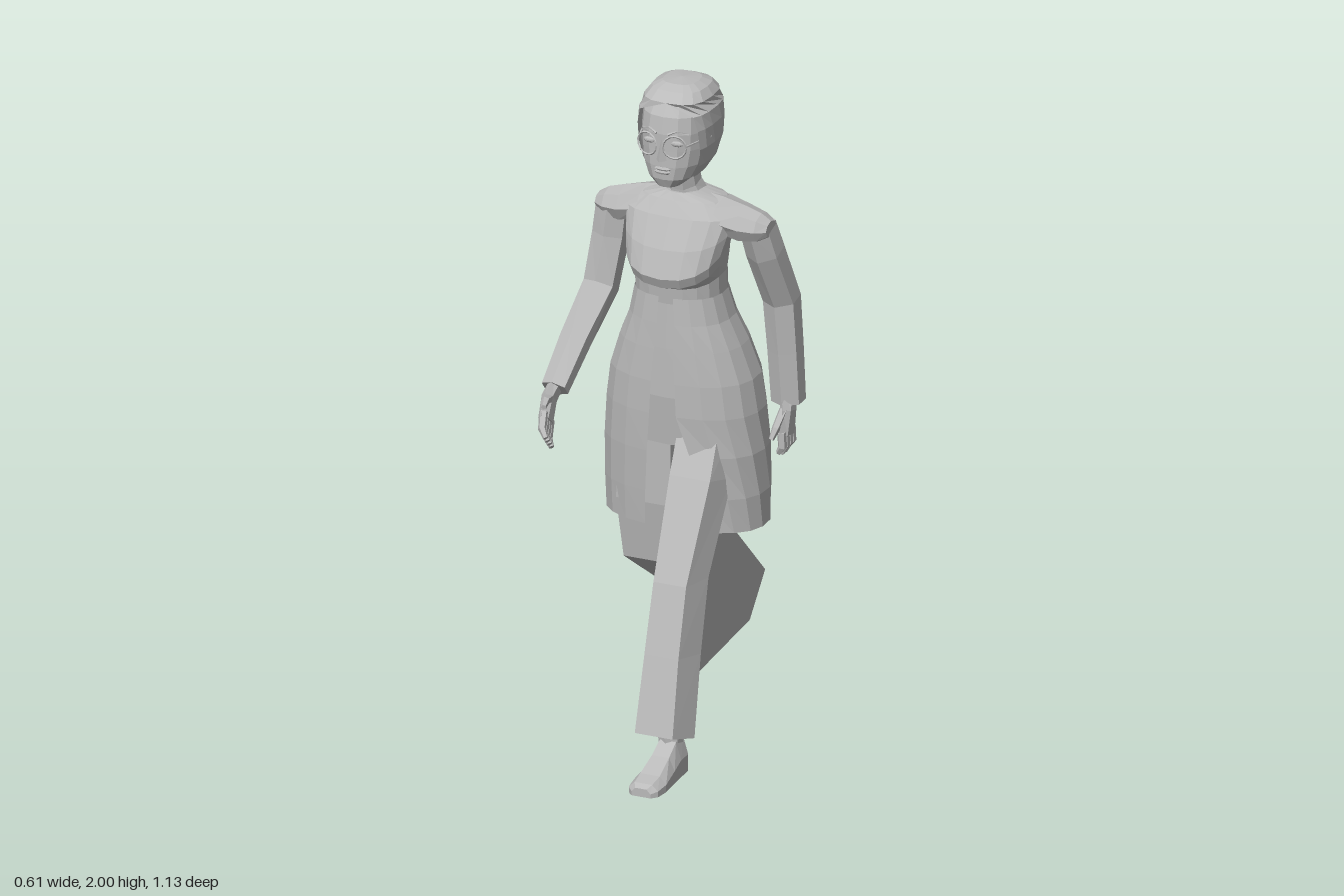
import * as THREE from 'three';

const grey = new THREE.MeshStandardMaterial({ color: 0xbababa, flatShading: true, side: THREE.DoubleSide });
grey.name = 'plain grey';
const V = (x, y, z) => new THREE.Vector3(x, y, z);

function add(parent, name, geometry) {
  const m = new THREE.Mesh(geometry, grey);
  m.name = name;
  parent.add(m);
  return m;
}

// Skin a list of equal-length rings; optionally closed around and capped at the ends
function loft(rings, closed = true, caps = true) {
  const n = rings[0].length, pos = [], idx = [];
  rings.forEach(r => r.forEach(p => pos.push(p.x, p.y, p.z)));
  for (let i = 0; i < rings.length - 1; i++) {
    for (let j = 0; j < (closed ? n : n - 1); j++) {
      const a = i * n + j, b = i * n + (j + 1) % n;
      idx.push(a, b, a + n, b, b + n, a + n);
    }
  }
  if (closed && caps) {
    [0, rings.length - 1].forEach((k, end) => {
      const c = rings[k].reduce((s, p) => s.add(p), V(0, 0, 0)).divideScalar(n);
      const ci = pos.length / 3;
      pos.push(c.x, c.y, c.z);
      for (let j = 0; j < n; j++) {
        const a = k * n + j, b = k * n + (j + 1) % n;
        if (end) idx.push(a, b, ci); else idx.push(b, a, ci);
      }
    });
  }
  const g = new THREE.BufferGeometry();
  g.setAttribute('position', new THREE.Float32BufferAttribute(pos, 3));
  g.setIndex(idx);
  g.computeVertexNormals();
  return g;
}

// Faceted tube through points [x, y, z, width, depth]
function limb(points, sides = 6) {
  const p = points.map(q => V(q[0], q[1], q[2]));
  return loft(p.map((c, i) => {
    const t = p[Math.min(i + 1, p.length - 1)].clone().sub(p[Math.max(i - 1, 0)]).normalize();
    const u = V(1, 0, 0).addScaledVector(t, -t.x).normalize();
    const v = t.clone().cross(u);
    return Array.from({ length: sides }, (_, k) => {
      const a = (k + 0.5) / sides * Math.PI * 2;
      return c.clone().addScaledVector(u, Math.cos(a) * points[i][3])
        .addScaledVector(v, Math.sin(a) * (points[i][4] ?? points[i][3]));
    });
  }));
}

// Rounded horizontal section; angles run from the front, sag lowers the front, e < 1 squares it
const power = (v, e) => Math.sign(v) * Math.abs(v) ** e;
function section([y, w, zf, zb, sag = 0, e = 0.85], from = 0, to = Math.PI * 2, n = 16, closed = true) {
  return Array.from({ length: closed ? n : n + 1 }, (_, k) => {
    const a = from + (to - from) * k / n, c = Math.cos(a);
    return V(w * power(Math.sin(a), e), y - sag * Math.max(0, c), (zf + zb) / 2 + (zf - zb) / 2 * power(c, e));
  });
}

function makeHead(root) {
  const head = new THREE.Group();
  head.name = 'head';
  root.add(head);
  add(head, 'face', loft([
    [1.703, 0.036, 0.143, 0.04], [1.73, 0.07, 0.155, -0.025], [1.77, 0.09, 0.158, -0.065],
    [1.82, 0.1, 0.157, -0.085], [1.87, 0.102, 0.157, -0.09], [1.92, 0.099, 0.148, -0.085],
    [1.96, 0.085, 0.122, -0.06]].map(r => section(r))));
  // Close-fitting hair, open around the face
  const hair = [[1.725, 0.07, 0.14, -0.05, 1.2], [1.765, 0.094, 0.15, -0.08, 1.15],
    [1.82, 0.107, 0.158, -0.1, 1.05], [1.88, 0.11, 0.162, -0.106, 0.95], [1.925, 0.107, 0.156, -0.1, 0.8],
    [1.958, 0.098, 0.134, -0.088, 0], [1.983, 0.08, 0.105, -0.065, 0],
    [1.996, 0.052, 0.075, -0.035, 0], [2.0, 0, 0.02, 0.02, 0]];
  add(head, 'hair', loft(hair.map(([y, w, f, b, gap]) =>
    section([y, w, f, b, 0, 0.72], gap, Math.PI * 2 - gap, 16, false)), false));
  const nose = add(head, 'nose', new THREE.ConeGeometry(0.016, 0.065, 4));
  nose.position.set(0, 1.825, 0.16);
  nose.scale.z = 1.2;
  for (const [name, y, h] of [['upperLip', 1.764, 0.007], ['lowerLip', 1.754, 0.008]]) {
    const lip = add(head, name, new THREE.SphereGeometry(1, 8, 4));
    lip.scale.set(0.026, h, 0.009);
    lip.position.set(0, y, 0.154);
  }
  for (const s of [-1, 1]) {
    const eye = add(head, 'eye', new THREE.SphereGeometry(1, 8, 6));
    eye.scale.set(0.02, 0.009, 0.008);
    eye.position.set(s * 0.042, 1.845, 0.148);
    add(head, 'eyebrow', limb([[s * 0.018, 1.872, 0.156, 0.004], [s * 0.045, 1.882, 0.148, 0.004],
      [s * 0.072, 1.872, 0.13, 0.003]], 4));
    const rim = add(head, 'glassesRim', new THREE.TorusGeometry(0.034, 0.003, 4, 16));
    rim.position.set(s * 0.043, 1.84, 0.165);
    rim.rotation.y = s * 0.25;
    add(head, 'glassesTemple', limb([[s * 0.076, 1.845, 0.157, 0.003], [s * 0.106, 1.845, 0.05, 0.003]], 4));
  }
  add(head, 'glassesBridge', limb([[-0.012, 1.845, 0.172, 0.003], [0.012, 1.845, 0.172, 0.003]], 4));
}

function makeTorso(root) {
  add(root, 'neck', limb([[0, 1.6, -0.01, 0.08, 0.075], [0, 1.645, -0.007, 0.06, 0.062],
    [0, 1.675, 0.002, 0.046, 0.056], [0, 1.71, 0.01, 0.043, 0.054], [0, 1.78, 0.025, 0.05, 0.06]], 8));
  // Bodice with the bust overhanging the waist
  add(root, 'bodice', loft([
    [1.34, 0.132, 0.135, -0.09], [1.42, 0.132, 0.14, -0.085, 0.03], [1.47, 0.142, 0.165, -0.085, 0.07],
    [1.5, 0.147, 0.178, -0.085, 0.07], [1.55, 0.16, 0.15, -0.085, 0.04], [1.595, 0.175, 0.105, -0.085],
    [1.635, 0.125, 0.075, -0.08], [1.655, 0.05, 0.06, -0.06]].map(r => section(r, 0, Math.PI * 2, 18))));
  // Long tunic open down the front: y, half width, front, back, right edge, left edge
  const rows = [[0.645, 0.245, 0.125, -0.17, 0.07, 0.14], [0.75, 0.247, 0.135, -0.174, 0.065, 0.12],
    [0.88, 0.245, 0.145, -0.176, 0.055, 0.08], [1.0, 0.236, 0.15, -0.174, 0.045, 0.04],
    [1.1, 0.222, 0.15, -0.165, 0.04, 0.035], [1.2, 0.188, 0.147, -0.142, 0.03, 0.03],
    [1.28, 0.153, 0.143, -0.115, 0.025, 0.03], [1.36, 0.134, 0.138, -0.09, 0.02, 0.025]];
  add(root, 'tunic', loft(rows.map(([y, w, f, b, r, l]) => section([y, w, f, b],
    Math.asin((l / w) ** 1.18), Math.PI * 2 - Math.asin((r / w) ** 1.18), 18, false)), false));
  add(root, 'trouserTop', loft([[0.9, 0.2, 0.12, -0.15], [1.05, 0.205, 0.135, -0.15],
    [1.2, 0.17, 0.132, -0.125], [1.36, 0.125, 0.125, -0.08]].map(r => section(r))));
  // Sloping shoulder caps
  for (const s of [-1, 1]) {
    const caps = [[0.03, 1.603, 0.05, 0.078], [0.12, 1.59, 0.052, 0.08],
      [0.19, 1.572, 0.054, 0.068], [0.24, 1.568, 0.043, 0.055], [0.27, 1.568, 0.024, 0.035]];
    add(root, s > 0 ? 'leftShoulder' : 'rightShoulder', loft(caps.map(([x, y, h, d]) =>
      Array.from({ length: 8 }, (_, k) => {
        const a = s * -k / 8 * Math.PI * 2;
        return V(s * x, y + h * Math.sin(a), d * Math.cos(a));
      }))));
  }
}

function makeArms(root) {
  add(root, 'leftSleeve', limb([[0.222, 1.57, -0.01, 0.054], [0.233, 1.48, -0.04, 0.057],
    [0.25, 1.31, -0.115, 0.056, 0.053], [0.257, 1.15, -0.125, 0.053, 0.05], [0.263, 0.99, -0.132, 0.051, 0.047]]));
  add(root, 'rightSleeve', limb([[-0.222, 1.57, 0, 0.054], [-0.232, 1.47, 0.005, 0.055],
    [-0.247, 1.32, 0.04, 0.054, 0.048], [-0.262, 1.2, 0.18, 0.048, 0.043], [-0.268, 1.095, 0.305, 0.042, 0.036]]));
  add(root, 'leftPalm', limb([[0.268, 1.02, -0.125, 0.02, 0.028], [0.272, 0.97, -0.11, 0.02, 0.038],
    [0.272, 0.9, -0.097, 0.018, 0.046]]));
  add(root, 'rightPalm', limb([[-0.268, 1.11, 0.29, 0.02, 0.028], [-0.272, 1.075, 0.335, 0.02, 0.038],
    [-0.262, 1.025, 0.38, 0.018, 0.042]]));
  // Fingers held together below each palm
  for (let i = 0; i < 4; i++) {
    const k = i - 1.5;
    add(root, 'leftFinger', limb([[0.272, 0.915, -0.097 + k * 0.021, 0.014],
      [0.275, 0.87, -0.097 + k * 0.021, 0.0135], [0.262, 0.838 + Math.abs(k) * 0.008, -0.096 + k * 0.019, 0.009]], 5));
    add(root, 'rightFinger', limb([[-0.263, 1.035 + k * 0.014, 0.37 + k * 0.014, 0.014],
      [-0.253, 0.995 + k * 0.015, 0.402 + k * 0.014, 0.0125], [-0.235, 0.975 + k * 0.014, 0.418 + k * 0.013, 0.008]], 5));
  }
  add(root, 'leftThumb', limb([[0.268, 0.975, -0.09, 0.015], [0.26, 0.93, -0.054, 0.013], [0.253, 0.9, -0.037, 0.008]], 5));
  add(root, 'rightThumb', limb([[-0.268, 1.08, 0.34, 0.015], [-0.258, 1.09, 0.39, 0.013], [-0.247, 1.085, 0.425, 0.008]], 5));
}

function makeLegs(root) {
  // Trouser section: front y/z, back y/z, inner x, outer x, how far the back corner is drawn in
  const ring = (s, tuck) => ([yf, zf, yb, zb, xi, xo]) => {
    const r = [V(s * xi, yb, zb), V(s * xi, yf, zf), V(s * (xo - 0.025), yf, zf),
      V(s * xo, yf * 0.35 + yb * 0.65, zf * 0.35 + zb * 0.65), V(s * (xo - tuck), yb, zb)];
    return s > 0 ? r : r.reverse();
  };
  add(root, 'leftTrouserLeg', loft([[1.0, 0.08, 1.0, -0.07, 0.025, 0.175], [0.83, 0.17, 0.8, 0.02, 0.03, 0.182],
    [0.55, 0.3, 0.55, 0.15, 0.04, 0.168], [0.35, 0.36, 0.33, 0.21, 0.04, 0.172],
    [0.13, 0.425, 0.09, 0.28, 0.04, 0.184]].map(ring(1, 0.03)), true, false));
  add(root, 'rightTrouserLeg', loft([[1.0, 0.1, 1.0, -0.14, 0, 0.18], [0.7, 0.1, 0.7, -0.155, 0, 0.197],
    [0.51, 0.07, 0.585, -0.19, 0, 0.187], [0.34, -0.17, 0.43, -0.35, 0, 0.172],
    [0.165, -0.42, 0.27, -0.535, 0, 0.183]].map(ring(-1, 0.012)), true, false));
  // Cloth stretched from the rear trouser hem to the inside of the front leg
  const cloth = new THREE.Shape([[0.04, 0.95], [0.15, 0.55], [0.21, 0.33], [0.28, 0.09], [0.03, 0.14],
    [-0.42, 0.158], [-0.535, 0.27], [-0.19, 0.585], [-0.12, 0.95]].map(p => new THREE.Vector2(...p)));
  const sheet = new THREE.ShapeGeometry(cloth).rotateY(-Math.PI / 2);
  const sp = sheet.attributes.position;
  for (let i = 0; i < sp.count; i++) sp.setX(i, 0.04 * (sp.getZ(i) + 0.535) / 0.815);
  add(root, 'middleCloth', sheet);

  // Shoes: distance from heel, half width, top height
  const shoe = [[0, 0.028, 0.06], [0.015, 0.038, 0.1], [0.07, 0.042, 0.105], [0.12, 0.045, 0.075],
    [0.19, 0.051, 0.045], [0.235, 0.046, 0.035], [0.252, 0.03, 0.025]];
  for (const [name, x, y, z, length] of [['leftShoe', 0.125, 0, 0.313, 1], ['rightShoe', -0.125, 0.115, -0.565, 1.08]]) {
    const g = loft(shoe.map(([d, w, h]) => [[-w, 0], [w, 0], [w, h * 0.5], [w * 0.6, h], [-w * 0.6, h], [-w, h * 0.5]]
      .map(([px, py]) => V(px, py, d * length))));
    add(root, name, g).position.set(x, y, z);
  }
  add(root, 'leftAnkle', limb([[0.122, 0.06, 0.355, 0.036], [0.12, 0.14, 0.36, 0.034], [0.115, 0.25, 0.32, 0.04]]));
  add(root, 'rightAnkle', limb([[-0.125, 0.19, -0.515, 0.036], [-0.122, 0.235, -0.48, 0.034], [-0.115, 0.32, -0.36, 0.04]]));
}

export function createModel() {
  const root = new THREE.Group();
  root.name = 'walkingWoman';
  makeHead(root);
  makeTorso(root);
  makeArms(root);
  makeLegs(root);
  return root;
}
